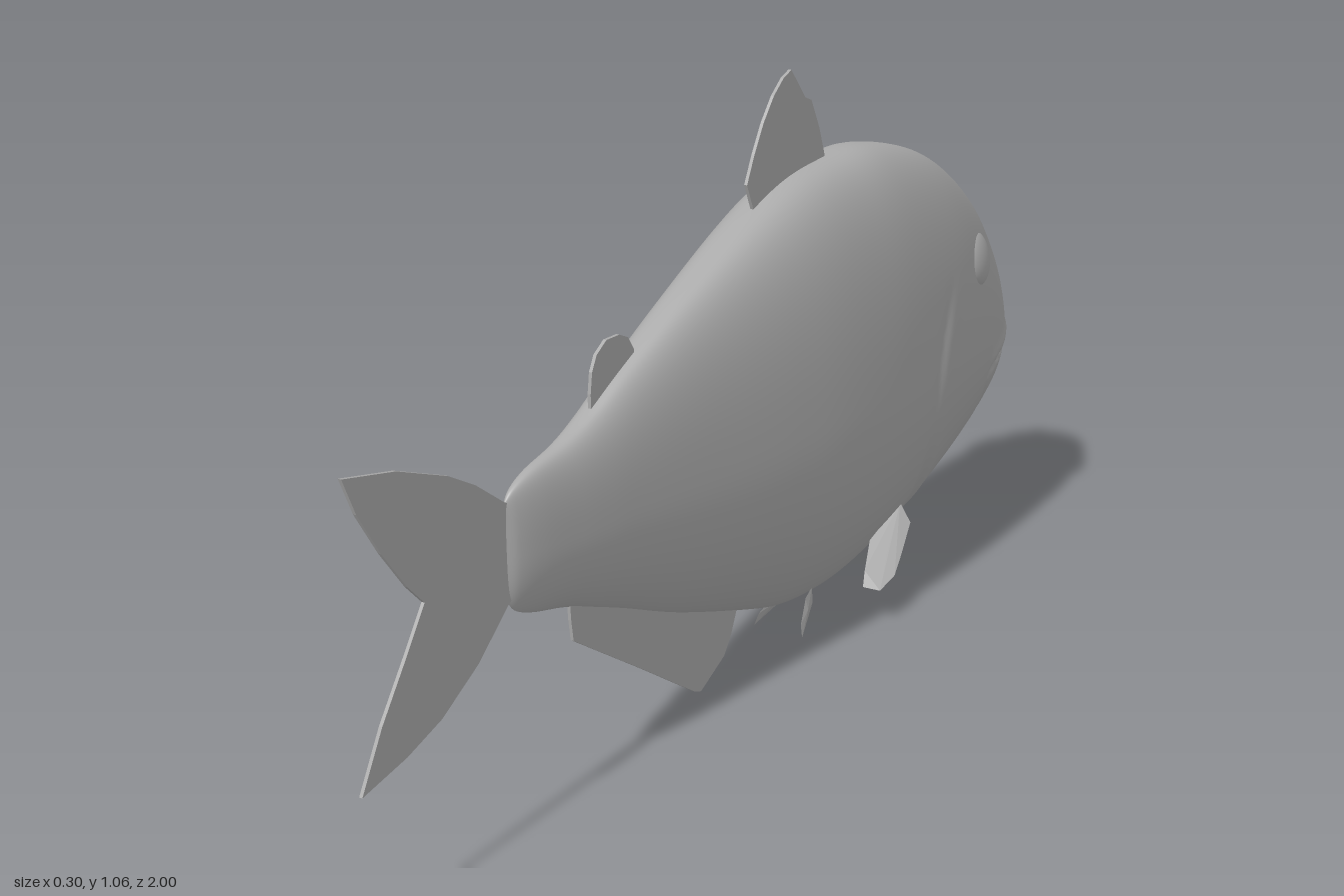
import * as THREE from 'three';
import { ConvexGeometry } from 'three/addons/geometries/ConvexGeometry.js';

const grey = new THREE.MeshStandardMaterial({ color: 0xaaaaaa });
grey.name = 'fishGrey';

// Body stations from nose to tail: z, top, bottom, half width
const STATIONS = [
  [-1, 0.39, 0.388, 0], [-0.993, 0.41, 0.365, 0.026], [-0.98, 0.435, 0.335, 0.045],
  [-0.957, 0.478, 0.298, 0.065], [-0.9, 0.572, 0.232, 0.09], [-0.85, 0.648, 0.194, 0.104],
  [-0.77, 0.735, 0.154, 0.12], [-0.66, 0.812, 0.114, 0.135], [-0.55, 0.859, 0.082, 0.143],
  [-0.41, 0.889, 0.053, 0.147], [-0.29, 0.889, 0.047, 0.145], [-0.155, 0.876, 0.064, 0.136],
  [-0.02, 0.835, 0.107, 0.119], [0.19, 0.75, 0.187, 0.087], [0.35, 0.677, 0.26, 0.064],
  [0.44, 0.632, 0.299, 0.052], [0.51, 0.606, 0.328, 0.042], [0.59, 0.59, 0.352, 0.029],
  [0.635, 0.572, 0.373, 0.016], [0.657, 0.548, 0.4, 0],
];
const curve = (f) => new THREE.CatmullRomCurve3(STATIONS.map(f), false, 'catmullrom', 0.5);
const outline = curve((s) => new THREE.Vector3(s[0], s[1], s[2]));
const widths = curve((s) => new THREE.Vector3(s[3], 0, 0));

const bump = (d, s) => Math.exp(-(d * d) / (s * s));
const step = THREE.MathUtils.smoothstep;

// Depth of the mouth, jaw and gill creases at a point of the flank
function crease(z, y) {
  const mouthY = 0.39 - 0.2 * (z + 1);
  const mouth = 1 - step(z, -0.81, -0.79);
  let d = 0.009 * mouth * bump(y - mouthY, 0.007);
  d -= 0.004 * mouth * bump(y - mouthY - 0.02, 0.014);
  const jawZ = -0.8 - 0.4 * Math.pow(Math.max(0, 0.35 - y), 1.3);
  d += 0.006 * bump(z - jawZ, 0.007) * (1 - step(y, 0.335, 0.355));
  const gillZ = -0.5 - 0.85 * (y - 0.36) ** 2;
  const fade = step(y, 0.08, 0.18) * (1 - step(y, 0.5, 0.62));
  d += 0.004 * fade * (bump(z - gillZ, 0.016) - 0.6 * bump(z - gillZ + 0.035, 0.025));
  return d;
}

// Half width of a section: full above the middle, tapered to a keel below
function sectionWidth(w, s) {
  const t = Math.min(1, Math.abs(s));
  return s > 0 ? w * Math.pow(1 - t ** 2.45, 1 / 2.45) : w * Math.pow(1 - t ** 2.3, 0.8);
}

function bodyGeometry(rings = 260, sides = 128) {
  const pos = [], index = [];
  for (let i = 0; i <= rings; i++) {
    const o = outline.getPoint(i / rings);
    const w = Math.max(0, widths.getPoint(i / rings).x);
    const mid = (o.y + o.z) / 2, half = (o.y - o.z) / 2;
    for (let j = 0; j < sides; j++) {
      const a = (j / sides) * Math.PI * 2;
      const s = Math.sin(a), y = mid + half * s;
      const x = sectionWidth(w, s);
      const cut = Math.min(crease(o.x, y), x * 0.5);
      pos.push(Math.sign(Math.cos(a)) * Math.max(0, x - cut * Math.min(1, x / 0.02)), y, o.x);
      if (i < rings) {
        const k = (j + 1) % sides, p = i * sides, q = p + sides;
        index.push(p + j, p + k, q + j, p + k, q + k, q + j);
      }
    }
  }
  const g = new THREE.BufferGeometry();
  g.setAttribute('position', new THREE.Float32BufferAttribute(pos, 3));
  g.setIndex(index);
  g.computeVertexNormals();
  return g;
}

// Thin upright fin on the centre plane, outlined in (z, y)
function finGeometry(points, depth = 0.006) {
  const shape = new THREE.Shape(points.map(([z, y]) => new THREE.Vector2(z, y)));
  const g = new THREE.ExtrudeGeometry(shape, { depth, bevelEnabled: false });
  return g.translate(0, 0, -depth / 2).rotateY(-Math.PI / 2);
}

// Thin lens-shaped blade for a paired fin; side is +1 or -1
function bladeGeometry(points, side, thick = 0.004) {
  const v = points.map(([x, y, z]) => new THREE.Vector3(x * side, y, z));
  const c = v.reduce((s, p) => s.add(p), new THREE.Vector3()).divideScalar(v.length);
  const n = v[1].clone().sub(v[0]).cross(v[v.length - 1].clone().sub(v[0])).normalize();
  return new ConvexGeometry([...v, c.clone().addScaledVector(n, thick), c.clone().addScaledVector(n, -thick)]);
}

const FINS = {
  tailFin: [[0.62, 0.54], [0.655, 0.56], [0.72, 0.61], [0.78, 0.645], [0.89, 0.69], [1, 0.716],
    [0.975, 0.655], [0.93, 0.58], [0.88, 0.51], [0.845, 0.472], [0.89, 0.405], [0.95, 0.32], [1, 0.23],
    [0.9, 0.248], [0.82, 0.273], [0.73, 0.325], [0.655, 0.39], [0.62, 0.41]],
  dorsalFin: [[-0.295, 0.85], [-0.295, 0.892], [-0.275, 0.945], [-0.246, 1.0], [-0.225, 1.008], [-0.176, 1.065],
    [-0.15, 1.055], [-0.118, 1.03], [-0.085, 0.99], [-0.055, 0.94], [-0.032, 0.893], [-0.053, 0.845], [-0.06, 0.82]],
  adiposeFin: [[0.31, 0.67], [0.31, 0.7], [0.326, 0.725], [0.35, 0.736], [0.385, 0.737], [0.412, 0.72],
    [0.425, 0.695], [0.43, 0.66], [0.43, 0.62]],
  analFin: [[0.5, 0.35], [0.497, 0.3], [0.492, 0.262], [0.3, 0.128], [0.14, 0.014], [0.12, 0.006],
    [0.043, 0.043], [0.02, 0.075], [0, 0.12], [0.05, 0.16]],
};
const PECTORAL = [[0.08, 0.172, -0.476], [0.112, 0.143, -0.46], [0.135, 0.11, -0.38], [0.148, 0.09, -0.33],
  [0.144, 0.077, -0.28], [0.112, 0.08, -0.272], [0.1, 0.1, -0.3], [0.072, 0.13, -0.37]];
const PELVIC = [[0.02, 0.07, -0.24], [0.028, 0.045, -0.23], [0.052, 0.01, -0.15], [0.046, 0.032, -0.155], [0.03, 0.066, -0.2]];

export function createModel() {
  const group = new THREE.Group();
  const add = (name, geometry) => {
    const m = new THREE.Mesh(geometry, grey);
    m.name = name;
    group.add(m);
    return m;
  };
  add('body', bodyGeometry());
  for (const [name, points] of Object.entries(FINS)) add(name, finGeometry(points));

  for (const [label, side] of [['left', 1], ['right', -1]]) {
    add(label + 'PectoralFin', bladeGeometry(PECTORAL, side));
    add(label + 'PelvicFin', bladeGeometry(PELVIC, side, 0.003));
    // Flattened eye, tilted to lie on the cheek
    const eye = add(label + 'Eye', new THREE.SphereGeometry(0.055, 32, 20));
    eye.scale.set(0.42, 1, 1);
    eye.rotation.set(0, side * 0.15, side * 0.2);
    eye.position.set(side * 0.107, 0.61, -0.716);
  }
  return group;
}
